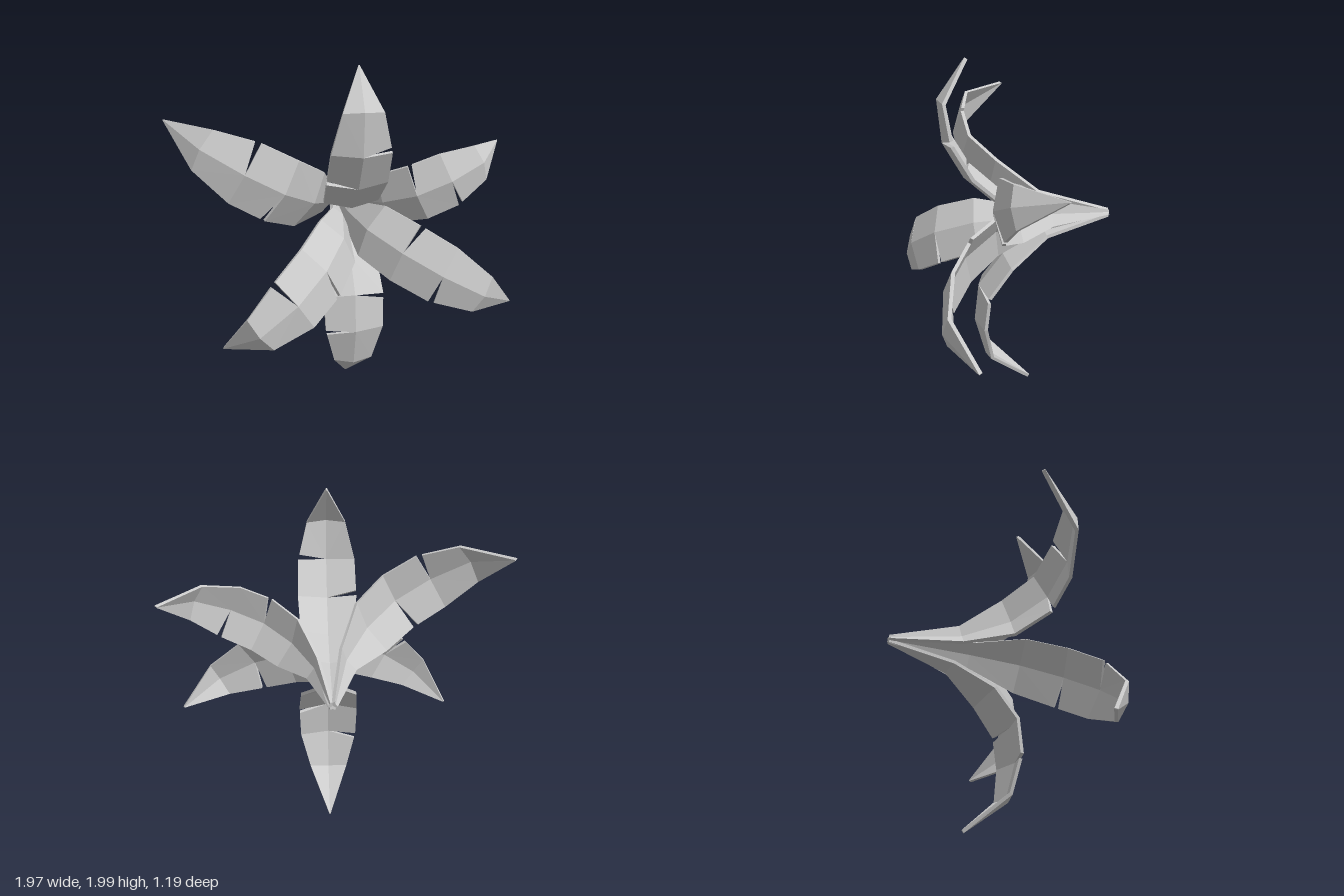
import * as THREE from 'three';

const THICK = 0.02;
const BASE = new THREE.Vector3(0.035, 1.08, -0.6);

// Petal profiles from base to tip: distance out from the axis, distance forward
const INNER = { out: [0, 0.03, 0.1, 0.26, 0.46, 0.695, 0.92],
  forward: [0, 0.4, 0.65, 0.83, 0.945, 0.975, 0.83] };
const OUTER = { out: [0, 0.09, 0.24, 0.425, 0.64, 0.87, 1.07],
  forward: [0, 0.38, 0.61, 0.75, 0.775, 0.72, 0.47] };
const HALF_WIDTH = [0.015, 0.075, 0.165, 0.178, 0.172, 0.115, 0.003];

// Direction of each petal in degrees and its reach, height and width factors
const PETALS = [
  { name: 'topPetal', profile: INNER, angle: 90, reach: 1, height: 1, width: 0.97 },
  { name: 'lowerRightPetal', profile: INNER, angle: 216, reach: 1.05, height: 1.2, width: 1 },
  { name: 'lowerLeftPetal', profile: INNER, angle: 332, reach: 1.13, height: 1.04, width: 1.02 },
  { name: 'upperLeftPetal', profile: OUTER, angle: 22.5, reach: 0.955, height: 0.94, width: 0.97 },
  { name: 'upperRightPetal', profile: OUTER, angle: 149.5, reach: 1.115, height: 1.08, width: 1.08 },
  { name: 'bottomPetal', profile: OUTER, angle: 270, reach: 1, height: 1, width: 1 },
];

// Plates whose outer corner is notched: third on one side, fourth on the other
const isNotched = (plate, side) => (plate === 3 && side > 0) || (plate === 4 && side < 0);

// Folded, solid petal built segment by segment, one plate each side of the midrib
function petalGeometry({ profile, angle, reach, height, width }) {
  const a = THREE.MathUtils.degToRad(angle);
  const across = new THREE.Vector3(-Math.sin(a), Math.cos(a), 0);
  const centres = profile.out.map((r, i) => new THREE.Vector3(
    r * reach * Math.cos(a), r * reach * Math.sin(a), profile.forward[i] * height).add(BASE));
  const last = centres.length - 1;

  // Midrib, edges and inward normal at every section
  const sections = centres.map((c, i) => {
    const along = centres[Math.min(i + 1, last)].clone().sub(centres[Math.max(i - 1, 0)]);
    const n = along.cross(across).normalize();
    const half = HALF_WIDTH[i] * width;
    const fold = half * 0.12;
    return {
      n,
      mid: c.clone().addScaledVector(n, fold),
      edge: s => c.clone().addScaledVector(across, s * half).addScaledVector(n, -fold),
    };
  });

  const pos = [];
  const quad = (p, q, r, t, flip) => {
    const order = flip ? [p, r, q, p, t, r] : [p, q, r, p, r, t];
    order.forEach(v => pos.push(v.x, v.y, v.z));
  };
  for (let i = 0; i < last; i++) {
    const A = sections[i], B = sections[i + 1];
    for (const s of [1, -1]) {
      const edgeA = A.edge(s), edgeB = B.edge(s);
      if (isNotched(i, s)) edgeA.lerp(edgeB, 0.13);
      const inner = [A.mid, B.mid, edgeB, edgeA];
      const outer = inner.map((v, k) =>
        v.clone().addScaledVector(k === 0 || k === 3 ? A.n : B.n, -THICK));
      const flip = s < 0;
      quad(...inner, flip);
      quad(...outer, !flip);
      // Rim along the edge and the two ends
      for (const k of [1, 2, 3]) {
        const m = (k + 1) % 4;
        quad(inner[k], outer[k], outer[m], inner[m], flip);
      }
    }
  }
  const g = new THREE.BufferGeometry();
  g.setAttribute('position', new THREE.Float32BufferAttribute(pos, 3));
  g.computeVertexNormals();
  return g;
}

export function createModel() {
  const flower = new THREE.Group();
  flower.name = 'flower';
  const material = new THREE.MeshStandardMaterial({
    color: 0xcccccc, flatShading: true, side: THREE.DoubleSide,
  });
  for (const petal of PETALS) {
    const mesh = new THREE.Mesh(petalGeometry(petal), material);
    mesh.name = petal.name;
    flower.add(mesh);
  }
  return flower;
}
